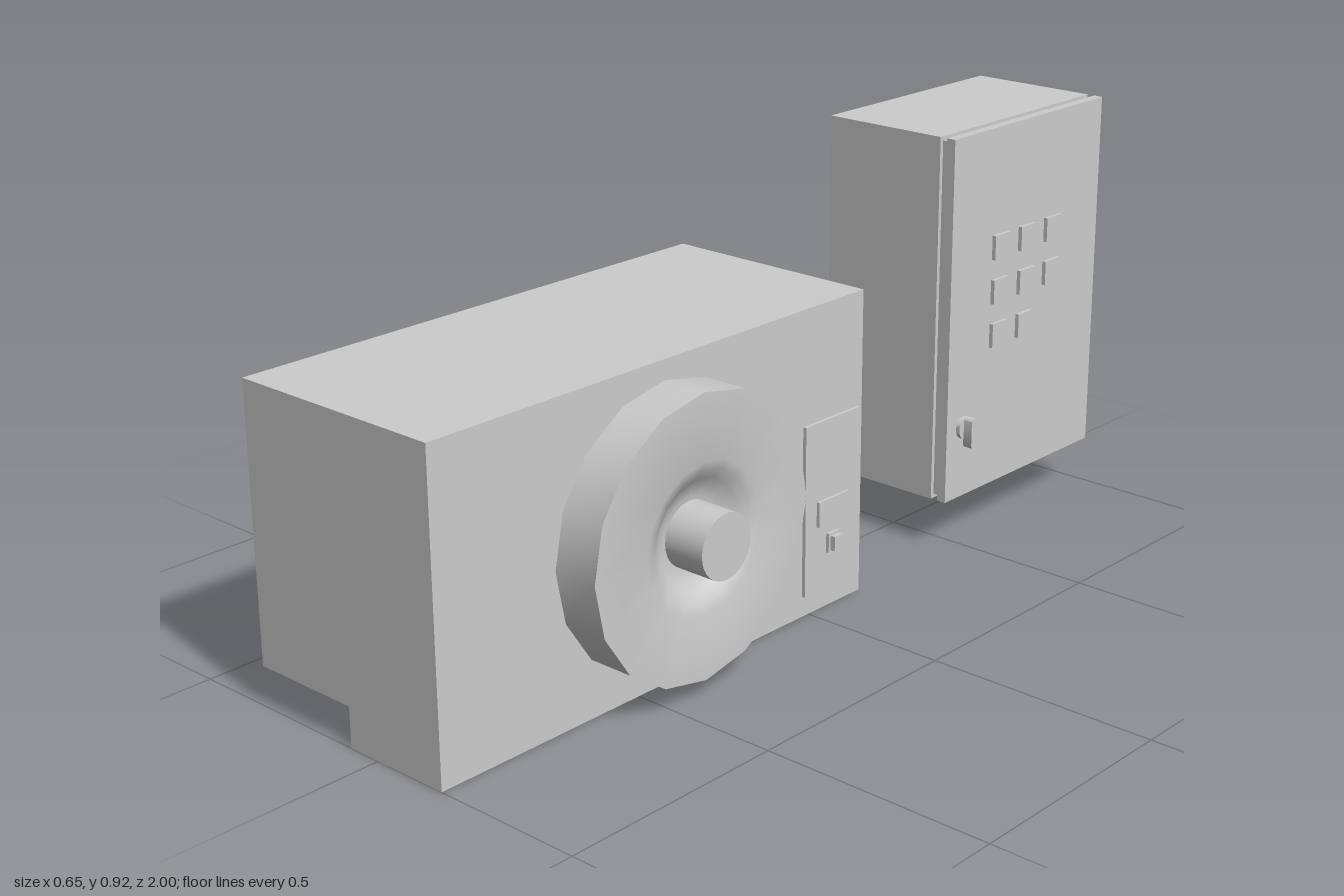
import * as THREE from 'three';
import { toCreasedNormals } from 'three/addons/utils/BufferGeometryUtils.js';

const grey = new THREE.MeshStandardMaterial({ color: 0xcccccc });

function add(group, name, geometry) {
  const mesh = new THREE.Mesh(geometry, grey);
  mesh.name = name;
  group.add(mesh);
  return mesh;
}

// Box given by its lower and upper limits on each axis
function box(group, name, [x0, x1], [y0, y1], [z0, z1]) {
  const mesh = add(group, name, new THREE.BoxGeometry(x1 - x0, y1 - y0, z1 - z0));
  mesh.position.set((x0 + x1) / 2, (y0 + y1) / 2, (z0 + z1) / 2);
  return mesh;
}

// Profile of [radius, distance] points turned about an axis along +x
function turned(group, name, profile, sides, x, y, z) {
  const points = profile.map(([r, d]) => new THREE.Vector2(r, d));
  const mesh = add(group, name, toCreasedNormals(new THREE.LatheGeometry(points, sides), 0.6));
  mesh.rotation.z = -Math.PI / 2;
  mesh.position.set(x, y, z);
  return mesh;
}

function createMachine() {
  const machine = new THREE.Group();
  machine.name = 'machine';

  // Housing with a step cut along its lower rear edge
  const outline = new THREE.Shape([
    [-0.326, 0.085], [-0.075, 0.085], [-0.075, 0], [0.172, 0], [0.172, 0.66], [-0.326, 0.66],
  ].map(([x, y]) => new THREE.Vector2(x, y)));
  const housing = add(machine, 'housing',
    new THREE.ExtrudeGeometry(outline, { depth: 1.164, bevelEnabled: false }));
  housing.position.z = -0.164;

  // Dished wheel and its hub
  turned(machine, 'wheel', [
    [0, 0], [0.291, 0], [0.291, 0.1], [0.155, 0.1], [0.135, 0.093],
    [0.115, 0.08], [0.095, 0.066], [0.075, 0.06], [0, 0.06],
  ], 16, 0.172, 0.328, 0.418);
  turned(machine, 'hub', [[0, 0.05], [0.067, 0.05], [0.067, 0.153], [0, 0.153]],
    32, 0.172, 0.328, 0.418);

  // Side control plate with display and switch
  box(machine, 'controlPlate', [0.17, 0.18], [0.045, 0.415], [-0.15, 0.02]);
  box(machine, 'display', [0.178, 0.187], [0.19, 0.245], [-0.11, -0.015]);
  box(machine, 'switchBase', [0.178, 0.187], [0.125, 0.167], [-0.081, -0.046]);
  box(machine, 'switchToggle', [0.185, 0.198], [0.13, 0.162], [-0.075, -0.052]);
  return machine;
}

function createCabinet() {
  const cabinet = new THREE.Group();
  cabinet.name = 'controlCabinet';
  box(cabinet, 'cabinetBody', [-0.155, 0.14], [0.11, 0.917], [-0.988, -0.45]);
  box(cabinet, 'doorSeal', [0.139, 0.158], [0.119, 0.908], [-0.979, -0.459]);
  box(cabinet, 'door', [0.157, 0.178], [0.11, 0.917], [-0.988, -0.45]);

  // Hinge pins on the back edge
  for (const y of [0.197, 0.83]) {
    const hinge = add(cabinet, 'hinge', new THREE.CylinderGeometry(0.008, 0.008, 0.05, 16));
    hinge.position.set(0.149, y, -0.992);
  }

  // Three rows of push buttons, the last one short
  [0.655, 0.556, 0.457].forEach((y, row) => {
    [-0.62, -0.715, -0.81].slice(0, row === 2 ? 2 : 3).forEach((z) => {
      box(cabinet, 'button', [0.177, 0.187], [y - 0.027, y + 0.027], [z - 0.027, z + 0.027]);
    });
  });

  // Rotary door latch
  turned(cabinet, 'latchBase', [[0, 0], [0.025, 0], [0.025, 0.01], [0, 0.01]],
    24, 0.177, 0.27, -0.508);
  const lever = new THREE.Shape();
  lever.absarc(0, 0.018, 0.009, 0, Math.PI);
  lever.absarc(0, -0.034, 0.009, Math.PI, Math.PI * 2);
  const handle = add(cabinet, 'latchHandle',
    toCreasedNormals(new THREE.ExtrudeGeometry(lever, { depth: 0.022, bevelEnabled: false, curveSegments: 8 }), 0.6));
  handle.rotation.y = Math.PI / 2;
  handle.position.set(0.186, 0.27, -0.508);
  return cabinet;
}

export function createModel() {
  const model = new THREE.Group();
  model.name = 'machineWithCabinet';
  model.add(createMachine(), createCabinet());
  return model;
}
